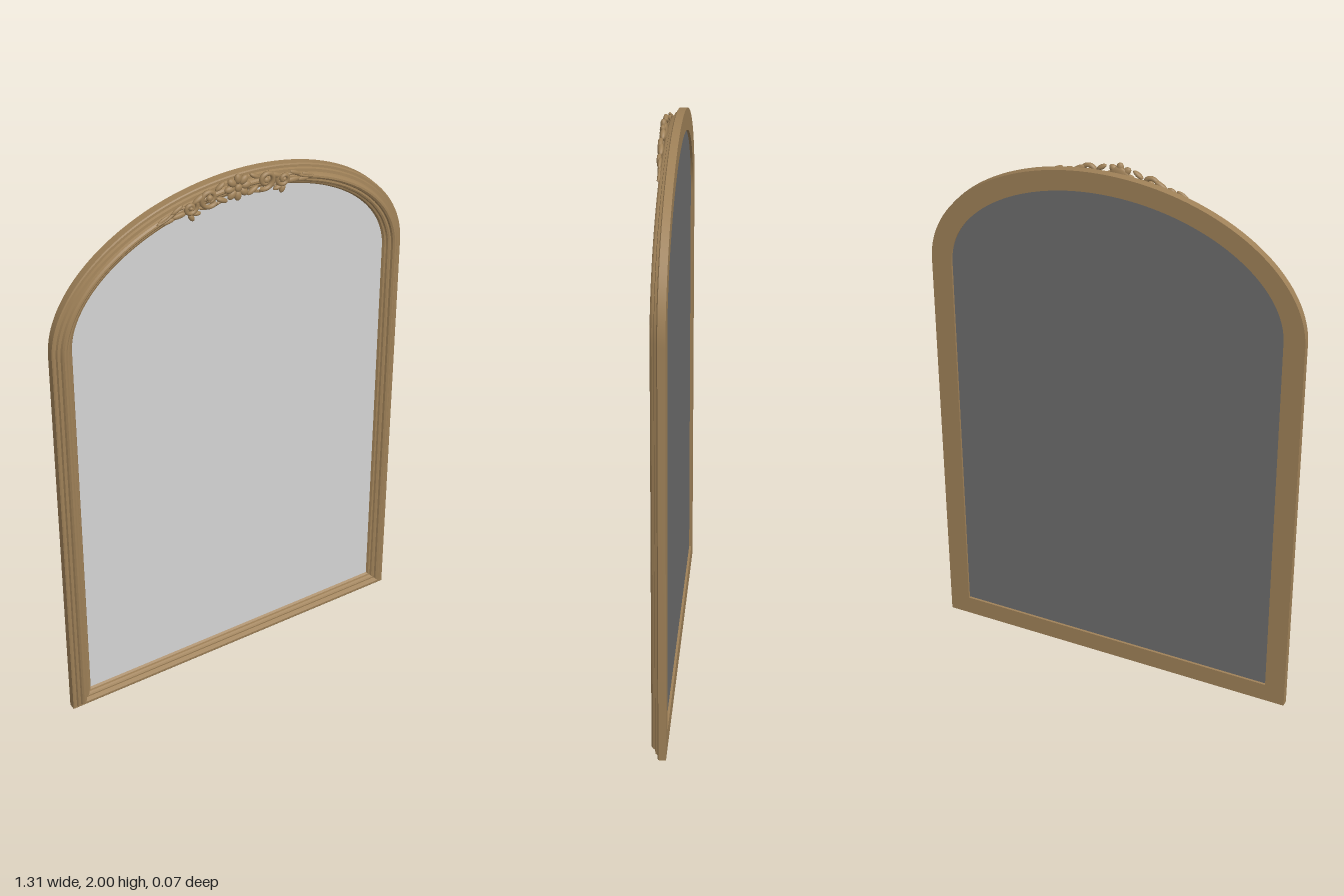
import * as THREE from 'three';
import { toCreasedNormals } from 'three/addons/utils/BufferGeometryUtils.js';

const HALF = 0.653, SPRING = 1.52, RISE = 0.46;

// Arched outline, counter-clockwise from the bottom left, inset by d
function outline(d) {
  const pts = [[-HALF + d, d], [HALF - d, d]];
  const steps = 72;
  for (let i = 0; i <= steps; i++) {
    const a = (i / steps) * Math.PI, c = Math.cos(a), s = Math.sin(a);
    const n = new THREE.Vector2(c / HALF, s / RISE).normalize();
    pts.push([HALF * c - n.x * d, SPRING + RISE * s - n.y * d]);
  }
  return pts;
}

// Sweep the moulding section [inset, z] round the outline
function mouldingGeometry(profile) {
  const rings = profile.map(([d]) => outline(d));
  const n = rings[0].length, m = profile.length, pos = [], index = [];
  for (let i = 0; i < n; i++)
    for (let j = 0; j < m; j++) pos.push(...rings[j][i], profile[j][1]);
  for (let i = 0; i < n; i++) {
    const k = (i + 1) % n;
    for (let j = 0; j < m; j++) {
      const l = (j + 1) % m;
      const a = i * m + j, b = k * m + j, c = k * m + l, e = i * m + l;
      index.push(a, b, c, a, c, e);
    }
  }
  const geo = new THREE.BufferGeometry();
  geo.setAttribute('position', new THREE.Float32BufferAttribute(pos, 3));
  geo.setIndex(index);
  return toCreasedNormals(geo, 0.35);
}

export function createModel() {
  const model = new THREE.Group();
  model.name = 'archedMirror';
  const wood = new THREE.MeshStandardMaterial({ color: 0x9f8158 });
  wood.name = 'antique gold wood';
  const silver = new THREE.MeshStandardMaterial({ color: 0xd4d4d4 });
  silver.name = 'mirror silver';
  const dark = new THREE.MeshStandardMaterial({ color: 0x6d6d6d });
  dark.name = 'backing grey';

  const add = (parent, name, geo, mat, x = 0, y = 0, z = 0) => {
    const mesh = new THREE.Mesh(geo, mat);
    mesh.name = name;
    mesh.position.set(x, y, z);
    parent.add(mesh);
    return mesh;
  };

  // Moulded frame
  add(model, 'frame', mouldingGeometry([
    [0, -0.035], [0, -0.01], [0.004, -0.007], [0.012, -0.006], [0.015, 0.001],
    [0.024, 0.003], [0.027, 0.01], [0.032, 0.015], [0.038, 0.016], [0.044, 0.012],
    [0.047, 0.005], [0.053, 0.006], [0.058, 0.003], [0.061, -0.003], [0.067, -0.005],
    [0.072, -0.012], [0.072, -0.035],
  ]), wood);

  // Glass and its backing
  const pane = new THREE.Shape(outline(0.07).map(([x, y]) => new THREE.Vector2(x, y)));
  add(model, 'glass', new THREE.ShapeGeometry(pane), silver, 0, 0, -0.012);
  add(model, 'backing', new THREE.ShapeGeometry(pane), dark, 0, 0, -0.027).rotation.y = Math.PI;

  // Carved crest
  const crest = new THREE.Group();
  crest.name = 'crest';
  model.add(crest);
  const ball = new THREE.SphereGeometry(1, 16, 10);

  const leaf = (name, x, y, length, width, angle, z = 0.019, depth = 0.009) => {
    const mesh = add(crest, name, ball, wood, x, y, z);
    mesh.scale.set(length / 2, width / 2, depth);
    mesh.rotation.z = angle;
  };
  const tube = (name, pts, radius) =>
    add(crest, name, new THREE.TubeGeometry(new THREE.CatmullRomCurve3(pts), 48, radius, 8), wood);

  // Central flower
  const cy = 1.952;
  for (let i = 0; i < 8; i++) {
    const a = (i / 8) * Math.PI * 2 + Math.PI / 2;
    leaf('petal', 0.03 * Math.cos(a), cy + 0.03 * Math.sin(a), 0.036, 0.025, a, 0.022, 0.01);
  }
  leaf('flowerHeart', 0, cy, 0.026, 0.026, 0, 0.027, 0.007);
  leaf('flowerBase', 0, cy, 0.07, 0.07, 0, 0.016, 0.01);

  // Scrolls and leaves, mirrored on both sides
  for (const s of [1, -1]) {
    const spiral = (name, x, y, r, turns, start, radius, z) => {
      const pts = [];
      for (let i = 0; i <= 24; i++) {
        const t = i / 24, a = start + t * turns * Math.PI * 2, q = r * (1 - 0.8 * t);
        pts.push(new THREE.Vector3(s * (x + q * Math.cos(a)), y + q * Math.sin(a), z + 0.003 * t));
      }
      tube(name, pts, radius);
    };
    const sprig = (name, x, y, length, width, angle, z, depth) =>
      leaf(name, s * x, y, length, width, s * angle, z, depth);

    spiral('largeScroll', 0.102, 1.946, 0.035, 1.3, -2.4, 0.008, 0.021);
    spiral('smallScroll', 0.168, 1.93, 0.025, 1.3, 2.4, 0.007, 0.02);
    tube('stem', [[0.05, 1.918], [0.1, 1.907], [0.15, 1.922], [0.2, 1.936], [0.245, 1.913], [0.28, 1.902]]
      .map(([x, y]) => new THREE.Vector3(s * x, y, 0.016)), 0.005);

    sprig('innerLeaf', 0.055, 1.922, 0.045, 0.018, 0.5);
    sprig('upperLeaf', 0.062, 1.972, 0.04, 0.016, -0.6);
    sprig('bridgeLeaf', 0.138, 1.952, 0.05, 0.018, -0.5);
    sprig('dropLeaf', 0.165, 1.895, 0.032, 0.018, 1.1);
    sprig('dropLeaf', 0.148, 1.904, 0.034, 0.016, 0.2);
    sprig('trailLeaf', 0.205, 1.912, 0.05, 0.018, -0.1, 0.017, 0.006);
    sprig('trailLeaf', 0.213, 1.935, 0.045, 0.015, -0.5, 0.017, 0.006);
    sprig('trailLeaf', 0.242, 1.903, 0.045, 0.015, -0.15, 0.016, 0.005);
    sprig('tipLeaf', 0.262, 1.912, 0.05, 0.015, -0.45, 0.015, 0.005);
    sprig('scrollEye', 0.102, 1.946, 0.022, 0.022, 0, 0.024);
    sprig('scrollEye', 0.168, 1.93, 0.016, 0.016, 0, 0.022);
  }
  return model;
}
